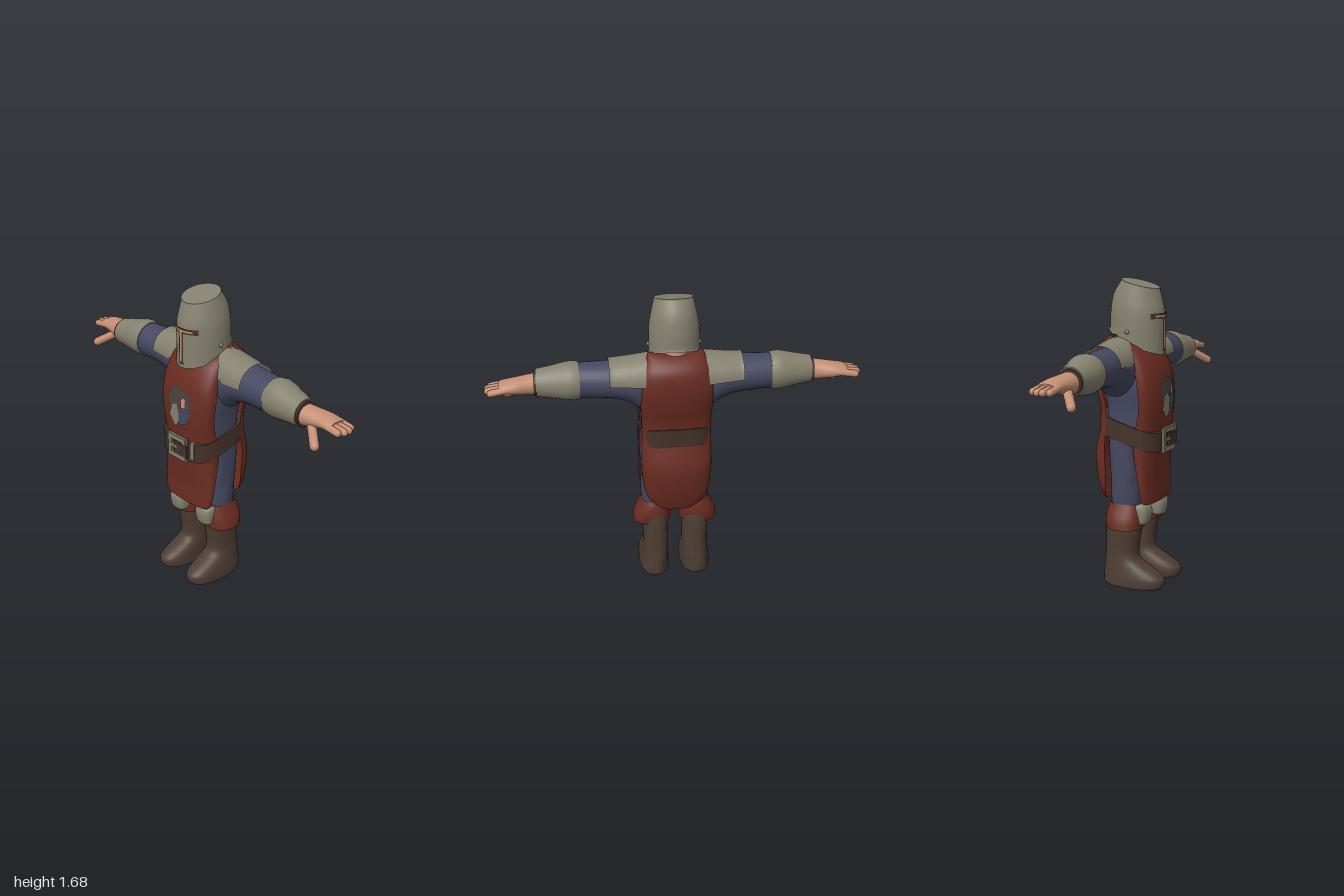
import * as THREE from 'three';

const mat = (name, color, side = THREE.DoubleSide) => {
  const m = new THREE.MeshStandardMaterial({ color, side });
  m.name = name;
  return m;
};
const steel = mat('steel', 0x85816f);
const red = mat('redCloth', 0x6a2c21);
const blue = mat('blueCloth', 0x454860);
const boot = mat('bootLeather', 0x4c3d33);
const leather = mat('beltLeather', 0x453129);
const skin = mat('skin', 0xc38e73);
const dark = mat('darkGrey', 0x46433f);

// Smoothly resample a table of section numbers
function smooth(rows, k = 4) {
  const out = [];
  for (let i = 0; i < rows.length - 1; i++) {
    const [a, b, c, d] = [-1, 0, 1, 2].map(o => rows[Math.min(Math.max(i + o, 0), rows.length - 1)]);
    for (let s = 0; s < k; s++) {
      const t = s / k;
      out.push(b.map((v, j) => v + 0.5 * t * (c[j] - a[j] +
        t * (2 * a[j] - 5 * v + 4 * c[j] - d[j] + t * (3 * (v - c[j]) + d[j] - a[j])))));
    }
  }
  out.push(rows[rows.length - 1]);
  return out;
}

// Skin a surface over rows of points, optionally closed round and capped
function skinRows(rows, closed = true, caps = closed) {
  const n = rows[0].length, pos = rows.flat(2), idx = [];
  for (let i = 0; i < rows.length - 1; i++) {
    for (let j = 0; j < (closed ? n : n - 1); j++) {
      const a = i * n + j, b = i * n + (j + 1) % n;
      idx.push(a, b, b + n, a, b + n, a + n);
    }
  }
  if (caps) {
    [rows[0], rows[rows.length - 1]].forEach((ring, e) => {
      const base = pos.length / 3;
      pos.push(...ring.flat(), ...[0, 1, 2].map(k => ring.reduce((s, p) => s + p[k], 0) / n));
      for (let j = 0; j < n; j++) {
        const a = base + j, b = base + (j + 1) % n;
        if (e) idx.push(base + n, a, b);
        else idx.push(base + n, b, a);
      }
    });
  }
  const g = new THREE.BufferGeometry();
  g.setAttribute('position', new THREE.Float32BufferAttribute(pos, 3));
  g.setIndex(idx);
  g.computeVertexNormals();
  return g;
}

const pow = (v, p) => Math.sign(v) * Math.abs(v) ** p;
const steps = (n, f) => Array.from({ length: n }, (_, j) => f(j));

// Upright section: [y, centre x, half width, centre z, half depth, slope of y along z]
const ringY = ([y, cx, w, cz, d, slope = 0], p = 1, n = 32) => steps(n, j => {
  const t = j / n * 2 * Math.PI, z = cz + d * pow(Math.cos(t), p);
  return [cx + w * pow(Math.sin(t), p), y + slope * z, z];
});
// Sideways section: [x, centre y, half height, centre z, half depth]
const ringX = ([x, cy, ry, cz, rz], n = 24, arc = 2 * Math.PI, start = 0, count = n) => steps(count, j => {
  const t = start + j / n * arc;
  return [x, cy + ry * Math.cos(t), cz + rz * Math.sin(t)];
});
const loftY = (rows, p, caps = true) => skinRows(smooth(rows).map(r => ringY(r, p)), true, caps);
const loftX = rows => skinRows(smooth(rows).map(r => ringX(r)));

// Cloth panel bowed to the front or back: [y, half width, edge z, middle z]
const sheet = rows => skinRows(rows.map(([y, w, ze, zm]) => steps(25, j => {
  const t = (j / 12 - 1) * Math.PI / 2, side = zm > ze ? 1 : -1;
  return [side * w * Math.sin(t), y, ze + (zm - ze) * Math.max(Math.cos(t), 0) ** 0.7];
})), false);

function capsule(a, b, r) {
  const A = new THREE.Vector3(...a), B = new THREE.Vector3(...b), d = B.clone().sub(A);
  const g = new THREE.CapsuleGeometry(r, d.length(), 6, 12);
  g.applyQuaternion(new THREE.Quaternion().setFromUnitVectors(new THREE.Vector3(0, 1, 0), d.normalize()));
  return g.translate(...A.add(B).multiplyScalar(0.5).toArray());
}

function mirrored(g) {
  const m = g.clone().scale(-1, 1, 1), i = m.index.array;
  for (let k = 0; k < i.length; k += 3) [i[k], i[k + 1]] = [i[k + 1], i[k]];
  return m;
}

export function createModel() {
  const model = new THREE.Group();
  model.name = 'knight';
  const add = (name, g, m) => {
    const mesh = new THREE.Mesh(g, m);
    mesh.name = name;
    model.add(mesh);
  };
  const pair = (name, g, m) => {
    add('left' + name, g, m);
    add('right' + name, mirrored(g), m);
  };

  // Tunic body
  add('tunic', loftY([[0.52, 0, 0.17, -0.015, 0.07], [0.6, 0, 0.187, -0.015, 0.09], [0.8, 0, 0.193, -0.015, 0.1],
    [0.9, 0, 0.187, 0, 0.13], [1, 0, 0.187, 0, 0.13], [1.1, 0, 0.197, -0.01, 0.145], [1.2, 0, 0.19, -0.025, 0.145],
    [1.3, 0, 0.16, -0.05, 0.11], [1.345, 0, 0.1, -0.06, 0.06]], 0.6), blue);

  // Tabard, front and back
  const front = smooth([[0.475, 0.165, 0.115, 0.152], [0.5, 0.182, 0.105, 0.152], [0.6, 0.193, 0.09, 0.15],
    [0.8, 0.19, 0.06, 0.165], [0.9, 0.188, 0.075, 0.173], [1, 0.193, 0.095, 0.18], [1.1, 0.2, 0.09, 0.176],
    [1.2, 0.195, 0.07, 0.156], [1.3, 0.185, 0.01, 0.105], [1.35, 0.165, -0.045, 0.035], [1.372, 0.145, -0.07, -0.05]]);
  const back = smooth([[0.46, 0.07, -0.145, -0.158], [0.49, 0.125, -0.13, -0.17], [0.55, 0.168, -0.115, -0.188],
    [0.65, 0.187, -0.105, -0.207], [0.75, 0.19, -0.11, -0.208], [0.9, 0.187, -0.1, -0.168], [1, 0.187, -0.1, -0.17],
    [1.1, 0.193, -0.12, -0.195], [1.2, 0.19, -0.145, -0.21], [1.3, 0.18, -0.12, -0.2],
    [1.36, 0.155, -0.085, -0.15], [1.385, 0.145, -0.07, -0.09], [1.372, 0.145, -0.045, -0.05]]);
  add('tabardFront', sheet(front), red);
  add('tabardBack', sheet(back), red);

  // Quartered patch lying on the chest
  const chestZ = (x, y) => {
    const i = Math.max(1, front.findIndex(r => r[0] >= y)), a = front[i - 1], b = front[i];
    const [, w, ze, zm] = a.map((v, k) => v + (b[k] - v) * (y - a[0]) / (b[0] - a[0]));
    return ze + (zm - ze) * (1 - (x / w) ** 2) ** 0.35;
  };
  const patch = (name, pts, m, lift) => {
    const g = new THREE.ShapeGeometry(new THREE.Shape(pts.map(p => new THREE.Vector2(...p)))), P = g.attributes.position;
    for (let i = 0; i < P.count; i++) P.setZ(i, chestZ(P.getX(i), P.getY(i)) + lift);
    g.computeVertexNormals();
    add(name, g, m);
  };
  patch('patchDark', [[-0.085, 1.04], [-0.01, 1.04], [0, 1.16], [-0.05, 1.15], [-0.075, 1.12]], dark, 0.004);
  patch('patchDarkRight', [[0, 1.06], [0.09, 1.06], [0.08, 1.12], [0.05, 1.15], [0, 1.16]], dark, 0.004);
  patch('patchPale', [[-0.075, 0.99], [-0.03, 0.935], [0, 0.95], [0.01, 1], [-0.005, 1.075], [-0.05, 1.06]], steel, 0.007);
  patch('patchBlue', [[0.005, 0.95], [0.06, 0.97], [0.09, 1.02], [0.09, 1.06], [0, 1.05]], blue, 0.006);
  patch('patchLight', [[0.025, 1.06], [0.055, 1.06], [0.055, 1.11], [0.04, 1.12], [0.022, 1.1]], skin, 0.008);

  // Belt, buckle and keeper
  add('belt', skinRows([0.813, 0.918].map(y => ringY([y, 0, 0.197, 0.002, 0.181, -0.3], 0.6, 48))), leather);
  const frame = new THREE.Shape([[-0.072, -0.065], [0.068, -0.065], [0.068, 0.065], [-0.072, 0.065]].map(p => new THREE.Vector2(...p)));
  frame.holes.push(new THREE.Path([[-0.048, -0.04], [-0.048, 0.04], [0.046, 0.04], [0.046, -0.04]].map(p => new THREE.Vector2(...p))));
  const buckle = { depth: 0.014, bevelEnabled: true, bevelSize: 0.003, bevelThickness: 0.003, bevelSegments: 1 };
  add('buckle', new THREE.ExtrudeGeometry(frame, buckle).translate(0, 0.818, 0.178), steel);
  add('buckleProng', new THREE.BoxGeometry(0.06, 0.016, 0.012).translate(-0.03, 0.82, 0.192), steel);
  add('strapEnd', new THREE.BoxGeometry(0.1, 0.07, 0.012).translate(0.035, 0.815, 0.191), leather);
  add('beltKeeper', new THREE.BoxGeometry(0.024, 0.1, 0.02).rotateY(0.25).translate(0.11, 0.83, 0.174), steel);

  // Neck, head and helmet
  add('neck', new THREE.CylinderGeometry(0.075, 0.09, 0.14, 24).translate(0, 1.38, -0.04), skin);
  add('head', new THREE.SphereGeometry(0.1, 24, 16).translate(0, 1.47, 0), skin);
  const helm = [[1.344, 0, 0.138, 0, 0.156, -0.44], [1.362, 0, 0.135, 0.002, 0.151, -0.44], [1.49, 0, 0.133, 0.003, 0.15, -0.08],
    [1.57, 0, 0.121, 0.007, 0.137, -0.18], [1.65, 0, 0.103, 0.02, 0.102, -0.25]];
  add('helmet', loftY(helm, 1, false), steel);
  add('helmetTop', skinRows([[1.647, 0, 0.106, 0.02, 0.105, -0.25], [1.655, 0, 0.104, 0.02, 0.103, -0.25]].map(r => ringY(r))), steel);
  pair('HelmetRivet', new THREE.SphereGeometry(0.012, 10, 8).translate(0.134, 1.4, 0), steel);

  // T-shaped eye slit
  const slit = (w, y0, y1, lift) => skinRows([y0, y1].map(y => steps(13, j => {
    const x = (j / 6 - 1) * w;
    return [x, y, 0.153 * Math.sqrt(1 - (x / 0.134) ** 2) + lift];
  })), false);
  add('eyeSlit', slit(0.092, 1.468, 1.497, 0.005), leather);
  add('noseSlit', slit(0.016, 1.295, 1.47, 0.005), leather);
  add('eyeSkin', slit(0.07, 1.477, 1.486, 0.007), skin);
  add('noseSkin', slit(0.007, 1.31, 1.478, 0.007), skin);

  // Arms
  pair('Sleeve', loftX([[0.1, 1.2, 0.12, -0.045, 0.1], [0.18, 1.2, 0.145, -0.045, 0.12], [0.25, 1.22, 0.115, -0.047, 0.115],
    [0.35, 1.23, 0.1, -0.045, 0.107], [0.53, 1.23, 0.093, -0.038, 0.095]]), blue);
  pair('Pauldron', skinRows(smooth([[0.12, 1.23, 0.142, -0.055, 0.128], [0.15, 1.232, 0.137, -0.055, 0.126], [0.25, 1.238, 0.117, -0.053, 0.122],
    [0.33, 1.24, 0.106, -0.05, 0.116], [0.352, 1.24, 0.108, -0.05, 0.118]])
    .map(r => ringX(r, 24, 3.2, -1.6, 25)), false), steel);
  pair('Vambrace', loftX([[0.505, 1.23, 0.1, -0.038, 0.1], [0.56, 1.23, 0.104, -0.038, 0.103],
    [0.65, 1.225, 0.087, -0.03, 0.087], [0.73, 1.22, 0.074, -0.022, 0.075]]), steel);
  pair('VambraceLining', loftX([[0.72, 1.22, 0.069, -0.022, 0.07], [0.742, 1.218, 0.068, -0.022, 0.069]]), leather);

  // Hands
  pair('Palm', loftX([[0.72, 1.216, 0.058, -0.022, 0.06], [0.78, 1.216, 0.052, -0.03, 0.06], [0.84, 1.218, 0.042, -0.042, 0.063],
    [0.9, 1.218, 0.031, -0.045, 0.062], [0.925, 1.214, 0.024, -0.045, 0.055]]), skin);
  [0.965, 0.98, 0.98, 0.965].forEach((x, i) => {
    const z = -0.09 + i * 0.03;
    pair('Finger' + (i + 1), capsule([0.88, 1.218, z], [x, 1.205, z - 0.003], 0.019), skin);
  });
  pair('Thumb', capsule([0.8, 1.185, 0], [0.885, 1.127, 0.065], 0.024), skin);

  // Legs, boots, cuffs and knee plates
  pair('Leg', loftY([[0.4, 0.108, 0.068, -0.015, 0.08], [0.5, 0.103, 0.086, -0.015, 0.085], [0.66, 0.1, 0.09, -0.015, 0.09]]), blue);
  pair('Boot', loftY([[0, 0.117, 0.082, 0.032, 0.165], [0.015, 0.118, 0.085, 0.034, 0.176], [0.05, 0.118, 0.083, 0.035, 0.178],
    [0.08, 0.116, 0.08, 0.02, 0.16], [0.11, 0.114, 0.076, -0.005, 0.133], [0.15, 0.112, 0.072, -0.034, 0.099],
    [0.21, 0.111, 0.07, -0.037, 0.093], [0.35, 0.115, 0.073, -0.024, 0.1], [0.44, 0.115, 0.068, -0.02, 0.085]], 0.85), boot);
  pair('BootCuff', loftY([[0.335, 0.131, 0.106, -0.01, 0.098], [0.385, 0.126, 0.1, -0.014, 0.104],
    [0.44, 0.117, 0.084, -0.014, 0.098], [0.47, 0.112, 0.076, -0.012, 0.088]], 0.85, false), red);
  pair('KneePlate', loftY([[0.355, 0.11, 0.04, 0.075, 0.035], [0.37, 0.11, 0.055, 0.075, 0.046], [0.42, 0.11, 0.06, 0.075, 0.054],
    [0.455, 0.11, 0.057, 0.073, 0.047], [0.468, 0.11, 0.045, 0.07, 0.03]], 0.7), steel);

  return model;
}
